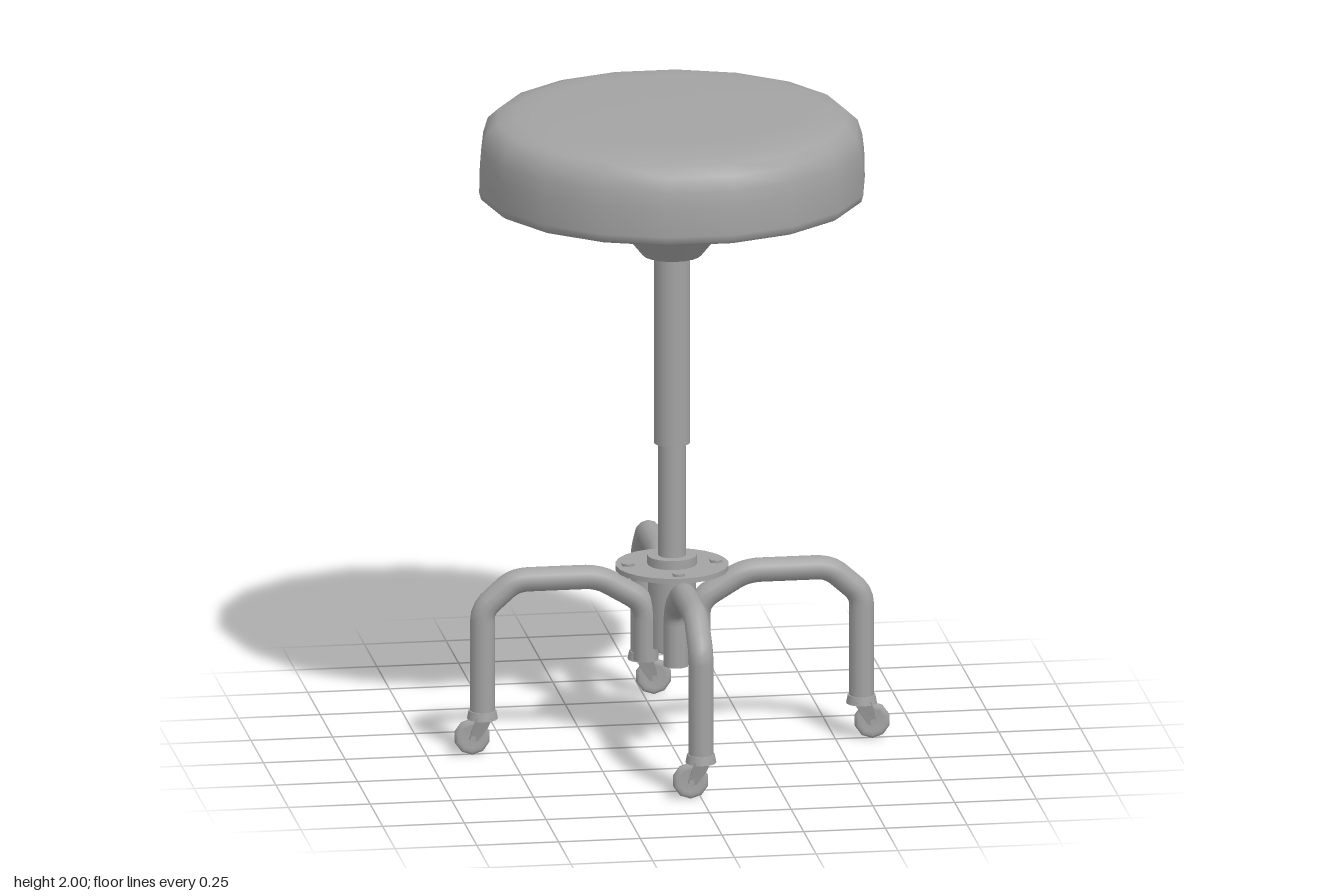
import * as THREE from 'three';

const grey = new THREE.MeshStandardMaterial({ color: 0xa3a3a3, side: THREE.DoubleSide });

function add(parent, name, geometry, x = 0, y = 0, z = 0) {
  const mesh = new THREE.Mesh(geometry, grey);
  mesh.name = name;
  mesh.position.set(x, y, z);
  parent.add(mesh);
  return mesh;
}

// Upright cylinder between two heights
function post(parent, name, rTop, rBottom, y0, y1, sides = 18, x = 0, z = 0) {
  return add(parent, name, new THREE.CylinderGeometry(rTop, rBottom, y1 - y0, sides), x, (y0 + y1) / 2, z);
}

const lathe = (pts, sides, start = 0) =>
  new THREE.LatheGeometry(pts.map(p => new THREE.Vector2(...p)), sides, start);

// Four bolts on the axes
function bolts(parent, name, radius, size, y0, y1) {
  for (let i = 0; i < 4; i++) {
    const a = i * Math.PI / 2;
    post(parent, name, size, size, y0, y1, 6, Math.sin(a) * radius, Math.cos(a) * radius);
  }
}

function makeSeat() {
  const seat = new THREE.Group();
  seat.name = 'seat';
  const start = Math.PI / 18;
  add(seat, 'cushion', lathe([
    [0.572, 1.735], [0.584, 1.743], [0.59, 1.765], [0.588, 1.85], [0.582, 1.9], [0.568, 1.945],
    [0.535, 1.975], [0.48, 1.99], [0.4, 1.996], [0.2, 2], [0, 2],
  ], 18, start));
  // Underside with a shallow recess
  add(seat, 'cushionRim', lathe([[0.44, 1.735], [0.572, 1.735]], 18, start));
  add(seat, 'recessWall', lathe([[0.44, 1.748], [0.44, 1.735]], 18, start));
  add(seat, 'baseBoard', lathe([[0, 1.748], [0.44, 1.748]], 18, start));
  post(seat, 'mountingPlate', 0.355, 0.355, 1.73, 1.748, 24);
  bolts(seat, 'plateBolt', 0.295, 0.02, 1.722, 1.732);
  post(seat, 'supportCone', 0.24, 0.09, 1.547, 1.732, 20);
  return seat;
}

function makeColumn() {
  const column = new THREE.Group();
  column.name = 'column';
  post(column, 'outerTube', 0.055, 0.055, 0.955, 1.56);
  post(column, 'innerTube', 0.042, 0.042, 0.55, 0.97);
  post(column, 'collar', 0.075, 0.075, 0.57, 0.602);
  post(column, 'flange', 0.172, 0.172, 0.558, 0.574, 24);
  bolts(column, 'flangeBolt', 0.135, 0.021, 0.572, 0.582);
  post(column, 'hub', 0.072, 0.072, 0.318, 0.562);
  return column;
}

// Bent tube lying in the plane of +x, straight runs joined by curved bends
function makeLeg() {
  const leg = new THREE.Group();
  const V = (x, y) => new THREE.Vector3(x, y, 0);
  const path = new THREE.CurvePath();
  const line = (a, b) => path.add(new THREE.LineCurve3(a, b));
  const bend = (a, b, c) => path.add(new THREE.QuadraticBezierCurve3(a, b, c));
  line(V(0.08, 0.276), V(0.08, 0.41));
  bend(V(0.08, 0.41), V(0.08, 0.455), V(0.12, 0.48));
  line(V(0.12, 0.48), V(0.19, 0.522));
  bend(V(0.19, 0.522), V(0.225, 0.543), V(0.27, 0.543));
  line(V(0.27, 0.543), V(0.44, 0.543));
  bend(V(0.44, 0.543), V(0.48, 0.543), V(0.505, 0.522));
  line(V(0.505, 0.522), V(0.55, 0.482));
  bend(V(0.55, 0.482), V(0.58, 0.458), V(0.58, 0.42));
  line(V(0.58, 0.42), V(0.58, 0.12));
  add(leg, 'legTube', new THREE.TubeGeometry(path, 56, 0.038, 12));
  add(leg, 'legEndCap', new THREE.CircleGeometry(0.038, 12).rotateX(Math.PI / 2), 0.08, 0.276, 0);
  return leg;
}

// Swivel wheel trailing towards +x, axle along z
function makeCaster() {
  const caster = new THREE.Group();
  const trail = 0.032, axleY = 0.056;
  post(caster, 'swivelCollar', 0.042, 0.047, 0.112, 0.138, 14);

  const shape = new THREE.Shape();
  [[-0.024, 0.122], [-0.012, 0.09], [0.018, 0.046], [0.032, 0.042], [0.042, 0.052], [0.036, 0.085], [0.024, 0.122]]
    .forEach(([x, y], i) => (i ? shape.lineTo(x, y) : shape.moveTo(x, y)));
  for (const side of [-1, 1]) {
    // Fork arms draw together towards the axle
    const arm = new THREE.ExtrudeGeometry(shape, { depth: 0.006, bevelEnabled: false });
    const p = arm.attributes.position;
    for (let i = 0; i < p.count; i++) {
      const spread = 0.018 + 0.02 * Math.max(0, (p.getY(i) - 0.05) / 0.072);
      p.setZ(i, p.getZ(i) - 0.003 + side * spread);
    }
    arm.computeVertexNormals();
    add(caster, 'forkArm', arm);
  }

  const wheel = lathe([
    [0, -0.011], [0.036, -0.011], [0.046, -0.014], [0.055, -0.007],
    [0.055, 0.007], [0.046, 0.014], [0.036, 0.011], [0, 0.011],
  ], 10).rotateX(Math.PI / 2);
  add(caster, 'wheel', wheel, trail, axleY, 0);
  add(caster, 'axle', new THREE.CylinderGeometry(0.009, 0.009, 0.052, 8).rotateX(Math.PI / 2), trail, axleY, 0);
  return caster;
}

export function createModel() {
  const stool = new THREE.Group();
  stool.name = 'stool';
  stool.add(makeSeat(), makeColumn());

  // Legs at +x, -z, -x, +z; all wheels roll along x
  const trailTo = [1, 1, -1, -1];
  for (let i = 0; i < 4; i++) {
    const a = i * Math.PI / 2;
    const leg = makeLeg();
    leg.name = 'leg';
    leg.rotation.y = a;
    const caster = makeCaster();
    caster.name = 'caster';
    caster.position.set(Math.cos(a) * 0.58, 0, -Math.sin(a) * 0.58);
    caster.rotation.y = trailTo[i] > 0 ? 0 : Math.PI;
    stool.add(leg, caster);
  }
  return stool;
}
